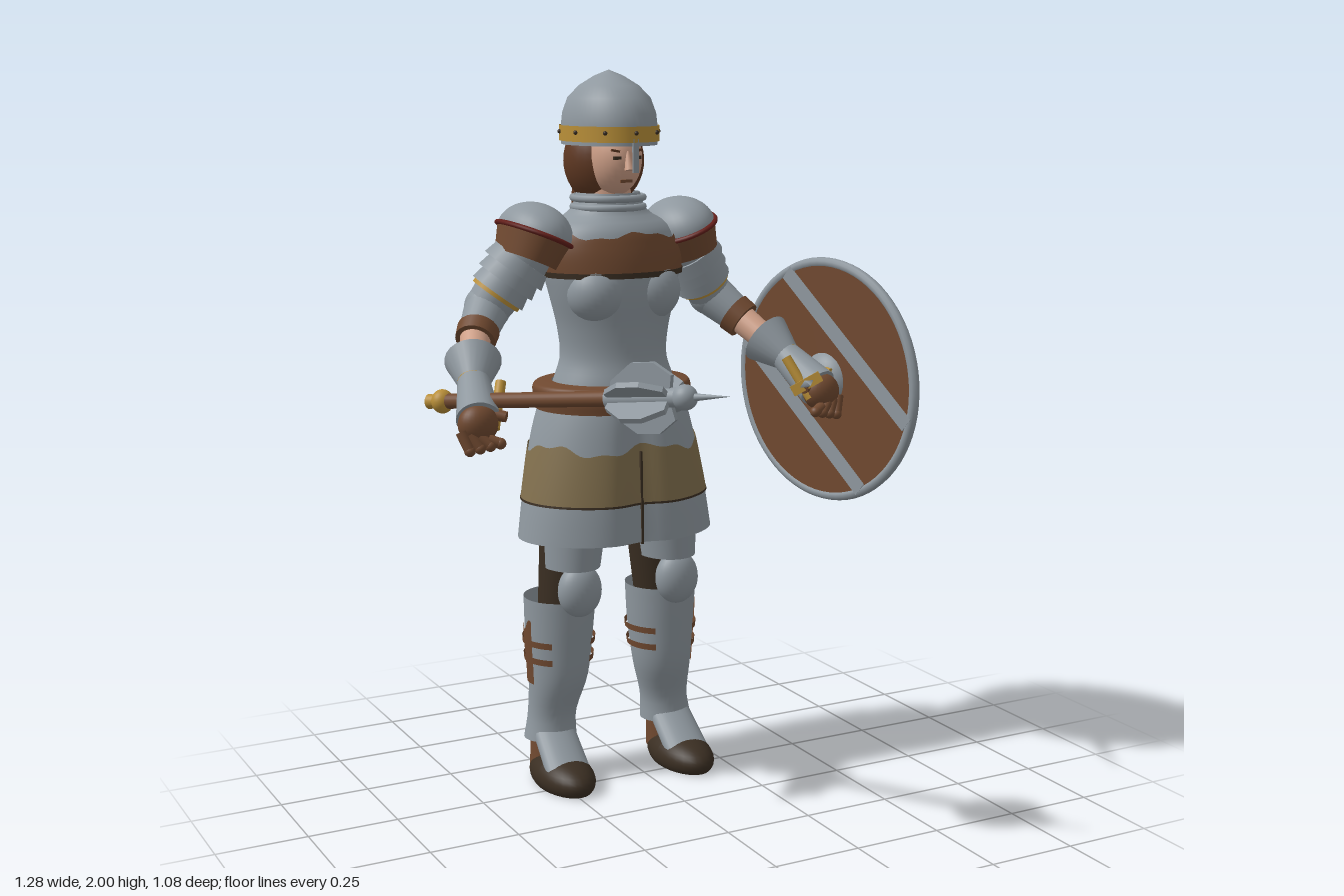
import * as THREE from 'three';

const mat = (name, color) => {
  const m = new THREE.MeshStandardMaterial({ color, side: THREE.DoubleSide });
  m.name = name;
  return m;
};
const V = (x, y, z) => new THREE.Vector3(x, y, z);
const UP = V(0, 1, 0);
const CX = -0.053; // body axis

export function createModel() {
  const steel = mat('steel', 0x8f989f), leather = mat('leather', 0x704930), gold = mat('gold', 0xb98f38);
  const cloth = mat('olive cloth', 0x82704e), dark = mat('dark cloth', 0x3a2e22), skin = mat('skin', 0xcfa088);
  const hair = mat('hair', 0x5f3822), red = mat('dark red', 0x641f1a);
  const model = new THREE.Group();

  const add = (name, geo, m, parent = model, pos) => {
    const mesh = new THREE.Mesh(geo, m);
    mesh.name = name;
    if (pos) mesh.position.copy(pos);
    parent.add(mesh);
    return mesh;
  };
  const ball = (name, m, pos, sx, sy, sz, parent) => {
    const b = add(name, new THREE.SphereGeometry(1, 28, 20), m, parent, pos);
    b.scale.set(sx, sy, sz);
    return b;
  };
  const box = (name, m, pos, w, h, d, parent) => add(name, new THREE.BoxGeometry(w, h, d), m, parent, pos);
  // tapered tube from a to b
  const limb = (name, m, a, b, ra, rb, open = false, parent) => {
    const d = b.clone().sub(a);
    const c = add(name, new THREE.CylinderGeometry(rb, ra, d.length(), 24, 1, open), m, parent, a.clone().lerp(b, 0.5));
    c.quaternion.setFromUnitVectors(UP, d.normalize());
    return c;
  };
  // smooth interpolation in a table of rows [y, centre x, centre z, radius x, radius z]
  const sample = (T, y) => {
    let i = 0;
    while (i < T.length - 2 && y > T[i + 1][0]) i++;
    const h = T[i + 1][0] - T[i][0], u = (y - T[i][0]) / h;
    const slope = (k, c) => {
      const a = T[Math.max(k - 1, 0)], b = T[Math.min(k + 1, T.length - 1)];
      return (b[c] - a[c]) / (b[0] - a[0]) * h;
    };
    return [1, 2, 3, 4].map((c) => {
      const p = T[i][c], q = T[i + 1][c], s = slope(i, c), e = slope(i + 1, c);
      const d = q - p;
      return p + s * u + (3 * d - 2 * s - e) * u * u + (s + e - 2 * d) * u * u * u;
    });
  };
  // elliptical skin through a table, between two heights and two angles (0 = front, PI/2 = left)
  const loft = (name, m, T, y0, y1, { grow = 0, t0 = 0, t1 = Math.PI * 2, notch = 0, wave = 0, rows = 16, n = 56 } = {}) => {
    const pos = [], idx = [], closed = t1 - t0 > 6.28, cols = closed ? n : n + 1;
    for (let j = 0; j <= rows; j++) for (let i = 0; i < cols; i++) {
      const t = t0 + (t1 - t0) * i / n, v = j / rows;
      const y = y0 + (y1 - y0) * v + wave * v * (Math.sin(5 * t + 1) + 0.5 * Math.cos(13 * t));
      const [cx, cz, rx, rz] = sample(T, y), s = Math.sin(t);
      pos.push(CX + cx + (rx + grow) * s, y, cz + (rz + grow) * Math.cos(t) * (1 - notch * Math.exp(-s * s / 0.05)));
    }
    for (let j = 0; j < rows; j++) for (let i = 0; i < n; i++) {
      const k = (i + 1) % cols, a = j * cols + i, b = j * cols + k;
      idx.push(a, b, b + cols, a, b + cols, a + cols);
    }
    const g = new THREE.BufferGeometry();
    g.setAttribute('position', new THREE.Float32BufferAttribute(pos, 3));
    g.setIndex(idx);
    g.computeVertexNormals();
    return add(name, g, m);
  };

  // Torso armour with leather yoke
  const torso = [[1.06, 0, -0.33, 0.2, 0.16], [1.15, 0, -0.325, 0.175, 0.145], [1.22, 0, -0.325, 0.153, 0.13],
    [1.3, 0, -0.325, 0.16, 0.13], [1.4, 0, -0.325, 0.185, 0.14], [1.47, 0, -0.335, 0.2, 0.147],
    [1.53, 0, -0.345, 0.2, 0.147], [1.58, 0, -0.35, 0.175, 0.135], [1.62, 0, -0.35, 0.11, 0.1], [1.67, 0, -0.35, 0.088, 0.088]];
  loft('breastplate', steel, torso, 1.06, 1.67, { rows: 40 });
  loft('yoke', leather, torso, 1.455, 1.56, { grow: 0.006, wave: 0.008 });
  loft('yokeTrim', dark, torso, 1.447, 1.462, { grow: 0.009, rows: 3 });
  for (const y of [1.63, 1.655]) {
    const ring = add('collarRing', new THREE.TorusGeometry(0.097, 0.01, 8, 40), steel, model, V(CX, y, -0.35));
    ring.rotation.x = Math.PI / 2;
  }

  // Skirt, belt and buckle
  const skirt = [[0.72, 0, -0.32, 0.287, 0.2], [0.83, 0, -0.325, 0.27, 0.2], [0.99, 0, -0.335, 0.238, 0.197],
    [1.08, 0, -0.335, 0.213, 0.186], [1.16, 0, -0.33, 0.185, 0.16]];
  loft('skirt', steel, skirt, 0.72, 1.15, { notch: 0.14, n: 80 });
  loft('skirtBand', cloth, skirt, 0.83, 0.98, { grow: 0.004, notch: 0.14, wave: 0.012, n: 100 });
  loft('skirtBandEdge', dark, skirt, 0.826, 0.832, { grow: 0.005, notch: 0.14, rows: 1, n: 80 });
  const belt = [[1.08, 0, -0.335, 0.216, 0.186], [1.115, 0, -0.335, 0.22, 0.188], [1.15, 0, -0.335, 0.213, 0.178], [1.155, 0, -0.33, 0.17, 0.14]];
  loft('belt', leather, belt, 1.08, 1.155, { grow: 0.006, notch: 0.1 });
  box('buckle', gold, V(CX, 1.113, -0.163), 0.055, 0.065, 0.02);
  for (const [y, z] of [[0.78, -0.149], [0.91, -0.154]]) box('skirtSeam', dark, V(CX, y, z), 0.006, 0.13, 0.008);

  // Head, face and hair
  ball('head', skin, V(CX, 1.765, -0.32), 0.076, 0.105, 0.1);
  limb('neck', skin, V(CX, 1.6, -0.35), V(CX, 1.74, -0.34), 0.065, 0.058);
  limb('nose', skin, V(CX, 1.785, -0.226), V(CX, 1.735, -0.214), 0.005, 0.014);
  box('mouth', leather, V(CX, 1.705, -0.236), 0.034, 0.008, 0.008);
  ball('hair', hair, V(CX, 1.755, -0.375), 0.113, 0.125, 0.105);
  const tail = [[1.51, 0, -0.505, 0.008, 0.008], [1.57, 0, -0.51, 0.03, 0.024], [1.66, 0, -0.5, 0.038, 0.034],
    [1.74, 0, -0.485, 0.034, 0.034], [1.8, 0, -0.46, 0.02, 0.03]];
  loft('ponytail', hair, tail, 1.51, 1.8, { n: 20 });

  // Helmet
  const dome = [[0.995, 1.8], [1, 1.85], [0.97, 1.885], [0.86, 1.925], [0.62, 1.958], [0.3, 1.984], [0, 2]].map(([r, y]) => new THREE.Vector2(r, y));
  const helmet = new THREE.Group();
  helmet.name = 'helmet';
  helmet.position.set(CX, 0, -0.34);
  helmet.scale.set(0.125, 1, 0.16);
  model.add(helmet);
  add('helmetDome', new THREE.LatheGeometry(dome, 48), steel, helmet);
  add('helmetBand', new THREE.CylinderGeometry(1.04, 1.04, 0.042, 48, 1, true), gold, helmet, V(0, 1.831, 0));
  for (let i = 0; i < 10; i++) {
    const t = i * Math.PI / 5;
    ball('helmetRivet', dark, V(CX + 0.131 * Math.sin(t), 1.835, -0.34 + 0.168 * Math.cos(t)), 0.006, 0.006, 0.006);
  }
  box('noseGuard', steel, V(CX, 1.775, -0.178), 0.016, 0.09, 0.008);

  // Left and right halves
  for (const s of [-1, 1]) {
    const side = s > 0 ? 'left' : 'right';
    const P = (x, y, z) => V(CX + s * x, y, z);
    box(side + 'Eye', dark, P(0.029, 1.768, -0.228), 0.024, 0.009, 0.008);
    box(side + 'Brow', hair, P(0.03, 1.786, -0.231), 0.032, 0.006, 0.008).rotation.z = s * 0.2;
    ball(side + 'Bust', steel, P(0.082, 1.405, -0.26), 0.085, 0.085, 0.085);

    // pauldron
    const pauldron = new THREE.Group();
    pauldron.name = side + 'Pauldron';
    pauldron.position.copy(P(0.22, 1.56, -0.355));
    pauldron.rotation.z = s * 0.4;
    model.add(pauldron);
    const cap = add('shoulderPlate', new THREE.SphereGeometry(1, 32, 14, 0, Math.PI * 2, 0, Math.PI / 2), steel, pauldron);
    cap.scale.set(0.1, 0.088, 0.137);
    const rim = add('shoulderRim', new THREE.TorusGeometry(1, 0.07, 8, 40), red, pauldron);
    rim.rotation.x = Math.PI / 2;
    rim.scale.set(0.1, 0.14, 0.1);
    const flap = add('shoulderFlap', new THREE.CylinderGeometry(1, 0.82, 0.075, 32, 1, true), leather, pauldron, V(0, -0.035, 0));
    flap.scale.set(0.1, 1, 0.138);

    // arm
    const shoulder = P(0.215, 1.55, -0.355), elbow = P(0.345, 1.365, -0.395), cuff = P(0.41, 1.295, -0.325), wrist = P(0.475, 1.2, -0.18);
    limb(side + 'UpperArm', steel, shoulder, elbow, 0.085, 0.062);
    ball(side + 'Elbow', steel, elbow, 0.064, 0.064, 0.064);
    limb(side + 'ElbowSleeve', steel, elbow, cuff, 0.063, 0.05);
    [0.3, 0.46, 0.62].forEach((u, i) => limb(side + 'ArmPlate', steel, shoulder.clone().lerp(elbow, u),
      shoulder.clone().lerp(elbow, u + 0.17), 0.084 - i * 0.005, 0.094 - i * 0.006));
    limb(side + 'ArmStrap', gold, shoulder.clone().lerp(elbow, 0.79), shoulder.clone().lerp(elbow, 0.84), 0.074, 0.074);
    limb(side + 'SleeveCuff', leather, cuff.clone().lerp(elbow, 0.25), cuff.clone().lerp(wrist, 0.06), 0.058, 0.055);
    limb(side + 'Forearm', skin, cuff, wrist, 0.042, 0.034);

    // gauntlet and hand
    const mouth = P(0.448, 1.245, -0.25), knuckles = P(0.51, 1.125, -0.065);
    limb(side + 'GauntletCuff', steel, mouth, wrist, 0.076, 0.043, true);
    limb(side + 'GauntletLining', gold, mouth, wrist, 0.071, 0.038, true);
    limb(side + 'GauntletBack', steel, wrist, knuckles, 0.043, 0.058);
    ball(side + 'Palm', leather, P(0.515, 1.115, -0.055), 0.054, 0.052, 0.042);
    for (let i = 0; i < 4; i++) {
      const a = P(0.565 - i * 0.022, 1.1 - i * 0.008, -0.045 + i * 0.006), b = P(0.55 - i * 0.026, 1.052 + i * 0.005, -0.028 + i * 0.005);
      limb(side + 'Finger', leather, a, b, 0.016, 0.014);
      ball(side + 'Fingertip', leather, b, 0.015, 0.015, 0.015);
    }
    limb(side + 'Thumb', leather, P(0.49, 1.14, -0.07), P(0.445, 1.13, -0.035), 0.018, 0.014);
    limb(side + 'GauntletTrim', gold, P(0.43, 1.21, -0.105), P(0.475, 1.1, -0.045), 0.014, 0.014);

    // leg
    limb(side + 'Thigh', dark, P(0.12, 0.9, -0.33), P(0.155, 0.48, -0.35), 0.095, 0.07);
    const tasset = [[0.64, s * 0.15, -0.3, 0.08, 0.1], [0.8, s * 0.14, -0.3, 0.095, 0.11]];
    loft(side + 'Tasset', steel, tasset, 0.64, 0.8, { t0: -1.5, t1: 1.5, n: 20, rows: 2 });
    ball(side + 'KneeGuard', steel, P(0.152, 0.58, -0.235), 0.064, 0.076, 0.048);
    const greave = [[0.12, s * 0.186, -0.375, 0.076, 0.072], [0.19, s * 0.18, -0.375, 0.07, 0.066], [0.3, s * 0.166, -0.36, 0.084, 0.086],
      [0.42, s * 0.162, -0.36, 0.095, 0.1], [0.54, s * 0.16, -0.355, 0.102, 0.105]];
    loft(side + 'Greave', steel, greave, 0.12, 0.54, { n: 36 });
    const out = s * Math.PI / 2;
    loft(side + 'GreavePatch', leather, greave, 0.29, 0.47, { grow: 0.004, t0: out - 0.35, t1: out + 0.25, n: 30, wave: 0.015 });
    for (const y of [0.355, 0.405]) for (const c of [out, -out])
      loft(side + 'GreaveStrap', leather, greave, y, y + 0.018, { grow: 0.008, t0: c - 0.95, t1: c + 0.95, n: 24, rows: 2 });

    // foot
    const sole = new THREE.SphereGeometry(1, 28, 20), sp = sole.attributes.position;
    for (let i = 0; i < sp.count; i++) sp.setY(i, Math.max(sp.getY(i), -0.45));
    sole.computeVertexNormals();
    add(side + 'Shoe', sole, dark, model, P(0.19, 0.03, -0.285)).scale.set(0.08, 0.06, 0.146);
    limb(side + 'ShoeHeel', leather, P(0.188, 0.035, -0.372), P(0.185, 0.14, -0.378), 0.06, 0.055);
    limb(side + 'FootPlate', steel, P(0.19, 0.052, -0.245), P(0.186, 0.14, -0.35), 0.066, 0.062).scale.z = 0.55;
  }

  // Mace, built along its own y axis
  const mace = new THREE.Group();
  mace.name = 'mace';
  mace.position.set(-0.285, 1.22, 0.335);
  mace.quaternion.setFromUnitVectors(UP, V(0.49, 0.11, 0.87).normalize());
  model.add(mace);
  limb('maceShaft', leather, V(0, -0.66, 0), V(0, -0.08, 0), 0.02, 0.02, false, mace);
  limb('maceCore', steel, V(0, -0.11, 0), V(0, 0.1, 0), 0.027, 0.024, false, mace);
  const flange = new THREE.Shape([[0.01, -0.1], [0.045, -0.095], [0.088, -0.03], [0.088, 0.035], [0.055, 0.085], [0.01, 0.075]].map(([x, y]) => new THREE.Vector2(x, y)));
  const flangeGeo = new THREE.ExtrudeGeometry(flange, { depth: 0.014, bevelEnabled: false }).translate(0, 0, -0.007);
  for (let i = 0; i < 6; i++) add('maceFlange', flangeGeo, steel, mace).rotation.y = i * Math.PI / 3;
  ball('maceBall', steel, V(0, 0.115, 0), 0.032, 0.032, 0.032, mace);
  limb('maceSpike', steel, V(0, 0.13, 0), V(0, 0.242, 0), 0.011, 0.0005, false, mace);
  ball('macePommel', gold, V(0, -0.645, 0), 0.032, 0.028, 0.032, mace);
  limb('macePommelCap', gold, V(0, -0.69, 0), V(0, -0.65, 0), 0.02, 0.016, false, mace);

  // Dagger, built along its own y axis
  const dagger = new THREE.Group();
  dagger.name = 'dagger';
  dagger.position.set(0.405, 1.143, -0.04);
  dagger.quaternion.setFromUnitVectors(UP, V(-0.15, 0.047, 0.265).normalize());
  model.add(dagger);
  const blade = add('daggerBlade', new THREE.ConeGeometry(0.022, 0.31, 4), steel, dagger, V(0, 0.155, 0));
  blade.scale.z = 0.5;
  box('daggerGuard', gold, V(0, 0, 0), 0.09, 0.022, 0.03, dagger);
  limb('daggerGrip', leather, V(0, -0.18, 0), V(0, 0, 0), 0.015, 0.015, false, dagger);
  ball('daggerPommel', gold, V(0, -0.195, 0), 0.028, 0.026, 0.028, dagger);

  // Shield, its outer face along its own z axis
  const shield = new THREE.Group();
  shield.name = 'shield';
  shield.position.set(0.548, 1.125, -0.165);
  shield.rotation.y = Math.atan2(0.971, -0.237);
  model.add(shield);
  add('shieldBoard', new THREE.CylinderGeometry(0.342, 0.342, 0.022, 64), leather, shield).rotation.x = Math.PI / 2;
  add('shieldRim', new THREE.TorusGeometry(0.336, 0.015, 10, 72), steel, shield);
  const a = 0.68;
  for (const d of [-0.135, 0.135])
    box('shieldStripe', steel, V(-Math.sin(a) * d, Math.cos(a) * d, 0), 0.61, 0.045, 0.03, shield).rotation.z = a;
  ball('shieldBoss', steel, V(0, 0, 0.008), 0.083, 0.083, 0.058, shield);
  for (let i = 0; i < 8; i++)
    ball('shieldRivet', steel, V(0.295 * Math.sin(i * Math.PI / 4), 0.295 * Math.cos(i * Math.PI / 4), 0.014), 0.011, 0.011, 0.009, shield);
  limb('shieldHandle', gold, V(-0.05, 0.03, -0.035), V(0.1, 0.05, -0.035), 0.012, 0.012, false, shield);

  return model;
}
